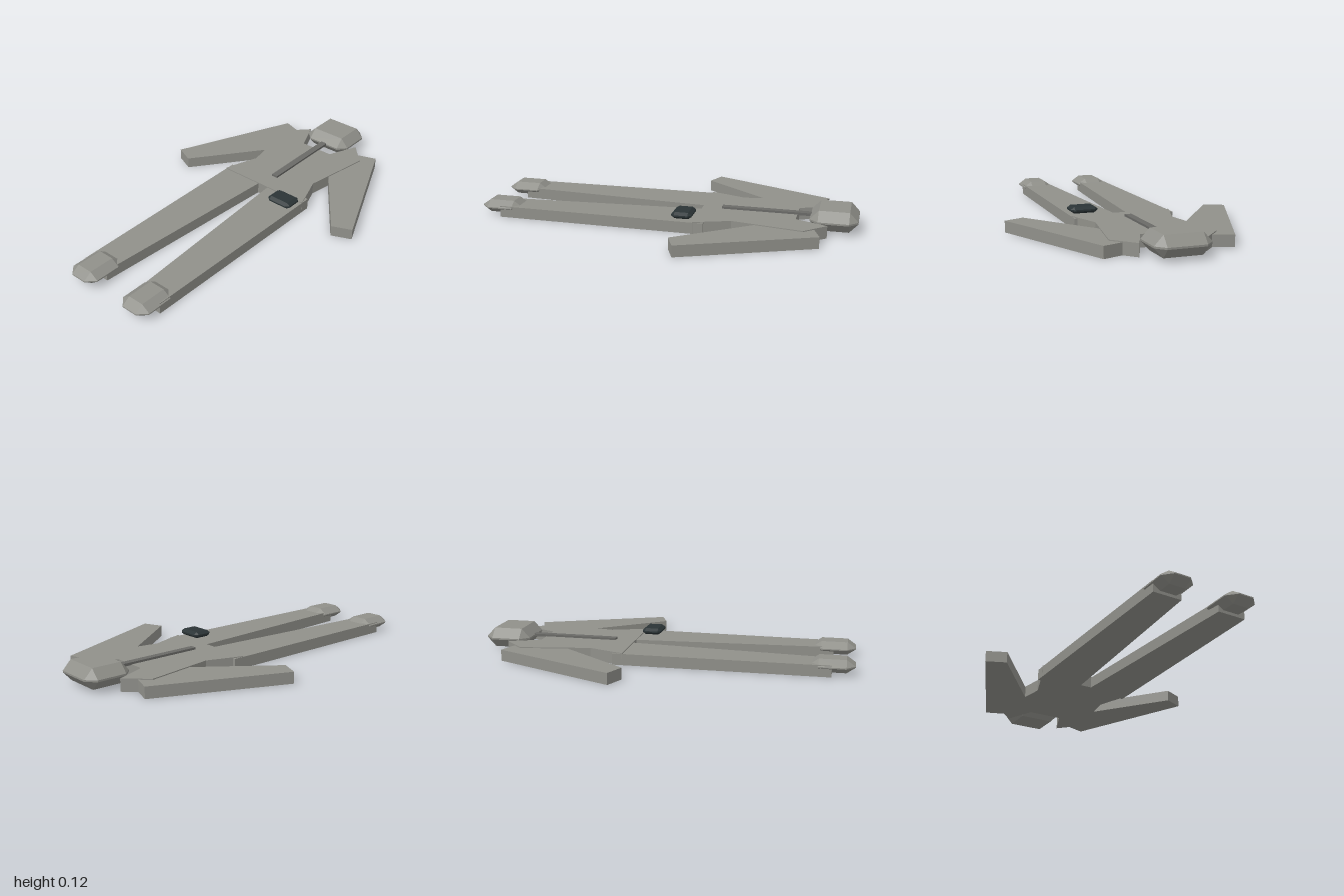
import * as THREE from 'three';
import { ConvexGeometry } from 'three/addons/geometries/ConvexGeometry.js';

const material = (name, color) => {
  const m = new THREE.MeshStandardMaterial({ color });
  m.name = name;
  return m;
};

// Flat slab from an outline of [x, z] points, standing on y = 0
function slab(points, height) {
  const shape = new THREE.Shape(points.map(([x, z]) => new THREE.Vector2(x, -z)));
  return new THREE.ExtrudeGeometry(shape, { depth: height, bevelEnabled: false }).rotateX(-Math.PI / 2);
}

// Box with chamfered edges and triangular corners; by is the vertical chamfer
function chamferBox(w, h, d, b, by) {
  const points = [];
  for (const sx of [-1, 1]) for (const sy of [-1, 1]) for (const sz of [-1, 1]) {
    const x = w / 2, y = h / 2, z = d / 2;
    points.push(
      new THREE.Vector3(sx * x, sy * (y - by), sz * (z - b)),
      new THREE.Vector3(sx * (x - b), sy * y, sz * (z - b)),
      new THREE.Vector3(sx * (x - b), sy * (y - by), sz * z));
  }
  return new ConvexGeometry(points);
}

export function createModel() {
  const group = new THREE.Group();
  const fabric = material('suit grey', 0x90908a);
  const trim = material('zipper grey', 0x6a6a67);
  const dark = material('pouch dark', 0x2b3436);

  const add = (name, geometry, mat, x = 0, y = 0, z = 0) => {
    const mesh = new THREE.Mesh(geometry, mat);
    mesh.name = name;
    mesh.position.set(x, y, z);
    group.add(mesh);
  };
  const mirror = (points) => points.map(([x, z]) => [-x, z]);

  // Torso with open neck, outlined from neck to hip and mirrored
  const half = [[0.095, -0.685], [0.165, -0.85], [0.27, -0.74], [0.206, -0.37], [0.254, -0.235], [0.27, -0.18]];
  add('torso', slab([...half, ...mirror(half).reverse()], 0.065), fabric);

  // Sleeves, trouser legs and boots
  const arm = [[0.16, -0.768], [0.324, -0.825], [0.613, -0.16], [0.51, -0.116], [0.228, -0.487], [0.16, -0.58]];
  const leg = [[0.03, -0.235], [0.27, -0.235], [0.258, 0.885], [0.105, 0.885], [0.032, -0.18]];
  for (const [side, s] of [['left', 1], ['right', -1]]) {
    const place = (points) => (s > 0 ? points : mirror(points));
    add(side + 'Arm', slab(place(arm), 0.06), fabric);
    add(side + 'Leg', slab(place(leg), 0.06), fabric);
    add(side + 'Boot', chamferBox(0.174, 0.068, 0.225, 0.044, 0.031), fabric, s * 0.177, 0.049, 0.8875);
  }

  // Hood, zipper and hip pouch
  add('hood', chamferBox(0.282, 0.105, 0.246, 0.045, 0.048), fabric, 0, 0.0675, -0.877);
  add('zipper', new THREE.BoxGeometry(0.036, 0.014, 0.5), trim, 0, 0.069, -0.535);
  add('pouch', chamferBox(0.144, 0.034, 0.107, 0.018, 0.013), dark, 0.192, 0.086, -0.118);

  return group;
}
